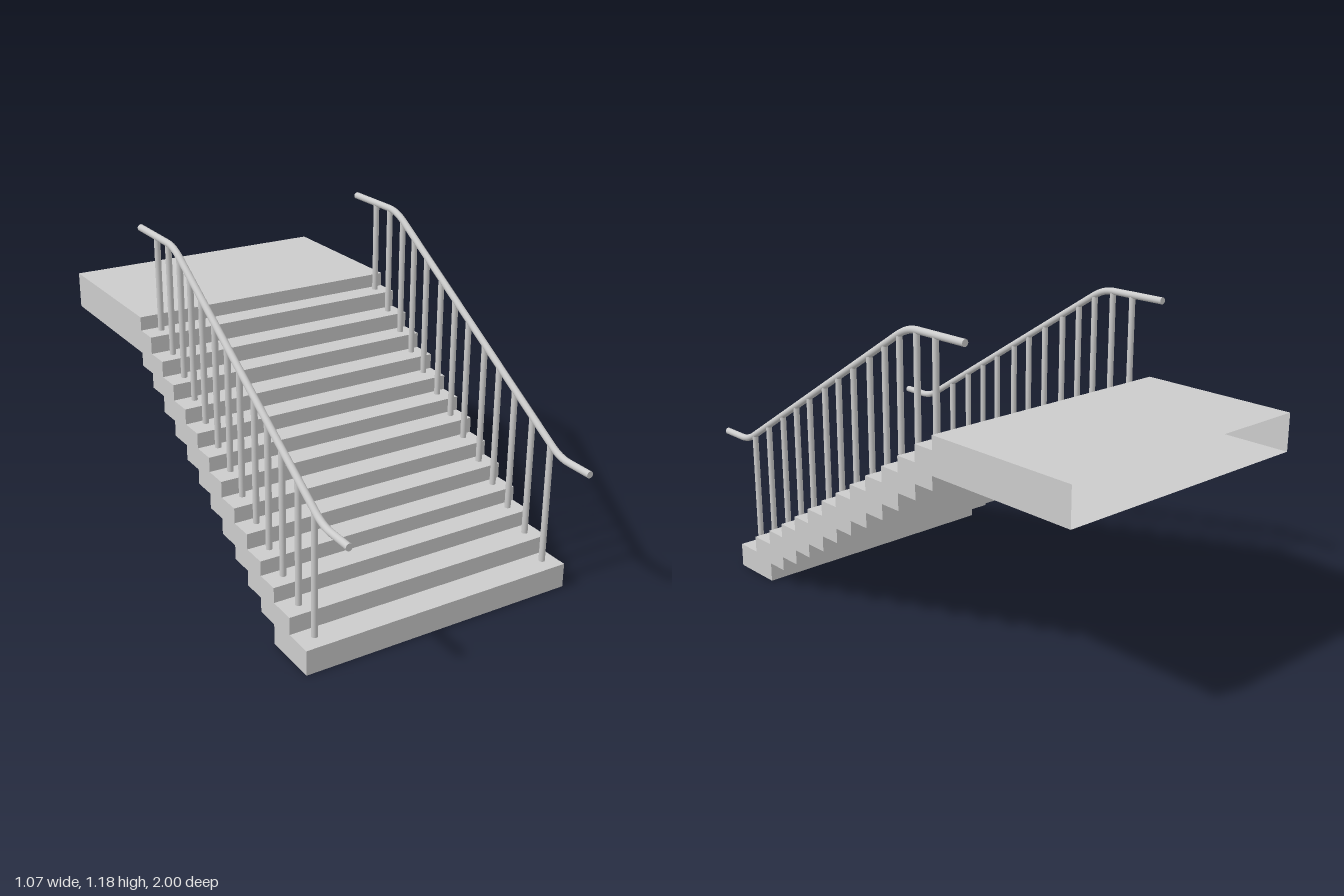
import * as THREE from 'three';

const HALF_WIDTH = 0.535, RAIL_X = 0.474, RAIL_R = 0.013, POST_R = 0.0115, BACK = -1;

// z of each riser from the front, height of each tread, and height of each underside level
const RISERS = [0.845, 0.737, 0.633, 0.543, 0.45, 0.36, 0.266, 0.176, 0.087, -0.006, -0.1, -0.19, -0.283, -0.372];
const TREADS = [0.093, 0.158, 0.215, 0.27, 0.328, 0.385, 0.445, 0.5, 0.557, 0.615, 0.675, 0.735, 0.799, 0.851];
const UNDERS = [0, 0.075, 0.13, 0.188, 0.242, 0.303, 0.36, 0.417, 0.475, 0.535, 0.6, 0.658, 0.71];
const POSTS = [0.793, 0.69, 0.587, 0.493, 0.404, 0.303, 0.217, 0.126, 0.03, -0.056, -0.137, -0.228, -0.324];

// Side outline as [z, y]: top back, down the treads, then back up the underside
function stairProfile() {
  const points = [[BACK, TREADS[TREADS.length - 1]]];
  for (let i = RISERS.length - 1; i >= 0; i--) {
    points.push([RISERS[i], TREADS[i]], [RISERS[i], i ? TREADS[i - 1] : 0]);
  }
  for (let i = 0; i < UNDERS.length - 1; i++) {
    points.push([RISERS[i + 2], UNDERS[i]], [RISERS[i + 2], UNDERS[i + 1]]);
  }
  points.push([BACK, UNDERS[UNDERS.length - 1]]);
  // drop repeated corners
  return points.filter((p, i) => !i || p[0] !== points[i - 1][0] || p[1] !== points[i - 1][1]);
}

// Folded sheet across the width; the back end stays open
function foldedSheet(profile) {
  const pos = [], w = HALF_WIDTH;
  for (let i = 0; i < profile.length - 1; i++) {
    const [za, ya] = profile[i], [zb, yb] = profile[i + 1];
    pos.push(-w, ya, za, -w, yb, zb, w, yb, zb);
    pos.push(-w, ya, za, w, yb, zb, w, ya, za);
  }
  const geometry = new THREE.BufferGeometry();
  geometry.setAttribute('position', new THREE.Float32BufferAttribute(pos, 3));
  geometry.computeVertexNormals();
  return geometry;
}

// Flat side wall, facing outward on the given side
function sideWall(profile, side) {
  const shape = new THREE.Shape(profile.map(([z, y]) => new THREE.Vector2(-side * z, y)));
  return new THREE.ShapeGeometry(shape).rotateY(side * Math.PI / 2).translate(side * HALF_WIDTH, 0, 0);
}

// Handrail centre line: level, bend, slope, bend, level
function railPath() {
  const v = (z, y) => new THREE.Vector3(0, y, z);
  const path = new THREE.CurvePath();
  path.add(new THREE.LineCurve3(v(0.997, 0.529), v(0.89, 0.529)));
  path.add(new THREE.QuadraticBezierCurve3(v(0.89, 0.529), v(0.845, 0.529), v(0.8, 0.557)));
  path.add(new THREE.LineCurve3(v(0.8, 0.557), v(-0.13, 1.131)));
  path.add(new THREE.QuadraticBezierCurve3(v(-0.13, 1.131), v(-0.182, 1.163), v(-0.23, 1.163)));
  path.add(new THREE.LineCurve3(v(-0.23, 1.163), v(-0.468, 1.163)));
  return path;
}

const railHeight = z => Math.min(1.16, 0.557 + (0.8 - z) * 0.617);

export function createModel() {
  const model = new THREE.Group();
  const sheetMat = new THREE.MeshStandardMaterial({ color: 0xcccccc, flatShading: true, side: THREE.DoubleSide });
  const railMat = new THREE.MeshStandardMaterial({ color: 0xcccccc });
  const add = (parent, name, geometry, material) => {
    const mesh = new THREE.Mesh(geometry, material);
    mesh.name = name;
    parent.add(mesh);
    return mesh;
  };

  // Steps and landing
  const stairs = new THREE.Group();
  stairs.name = 'stairs';
  model.add(stairs);
  const profile = stairProfile();
  add(stairs, 'stepsAndLanding', foldedSheet(profile), sheetMat);
  add(stairs, 'leftSide', sideWall(profile, 1), sheetMat);
  add(stairs, 'rightSide', sideWall(profile, -1), sheetMat);

  // Railings
  const path = railPath();
  const railGeo = new THREE.TubeGeometry(path, 96, RAIL_R, 16);
  const capGeo = new THREE.CircleGeometry(RAIL_R, 16);
  for (const side of [1, -1]) {
    const railing = new THREE.Group();
    railing.name = side > 0 ? 'leftRailing' : 'rightRailing';
    railing.position.x = side * RAIL_X;
    model.add(railing);

    add(railing, 'handrail', railGeo, railMat);
    add(railing, 'frontRailEnd', capGeo, railMat).position.copy(path.getPoint(0));
    const backEnd = add(railing, 'backRailEnd', capGeo, railMat);
    backEnd.position.copy(path.getPoint(1));
    backEnd.rotation.y = Math.PI;

    // One baluster per tread
    POSTS.forEach((z, i) => {
      const bottom = TREADS[i] + 0.007, height = railHeight(z) - bottom;
      const post = add(railing, 'baluster', new THREE.CylinderGeometry(POST_R, POST_R, height, 16), railMat);
      post.position.set(0, bottom + height / 2, z);
    });
  }
  return model;
}
